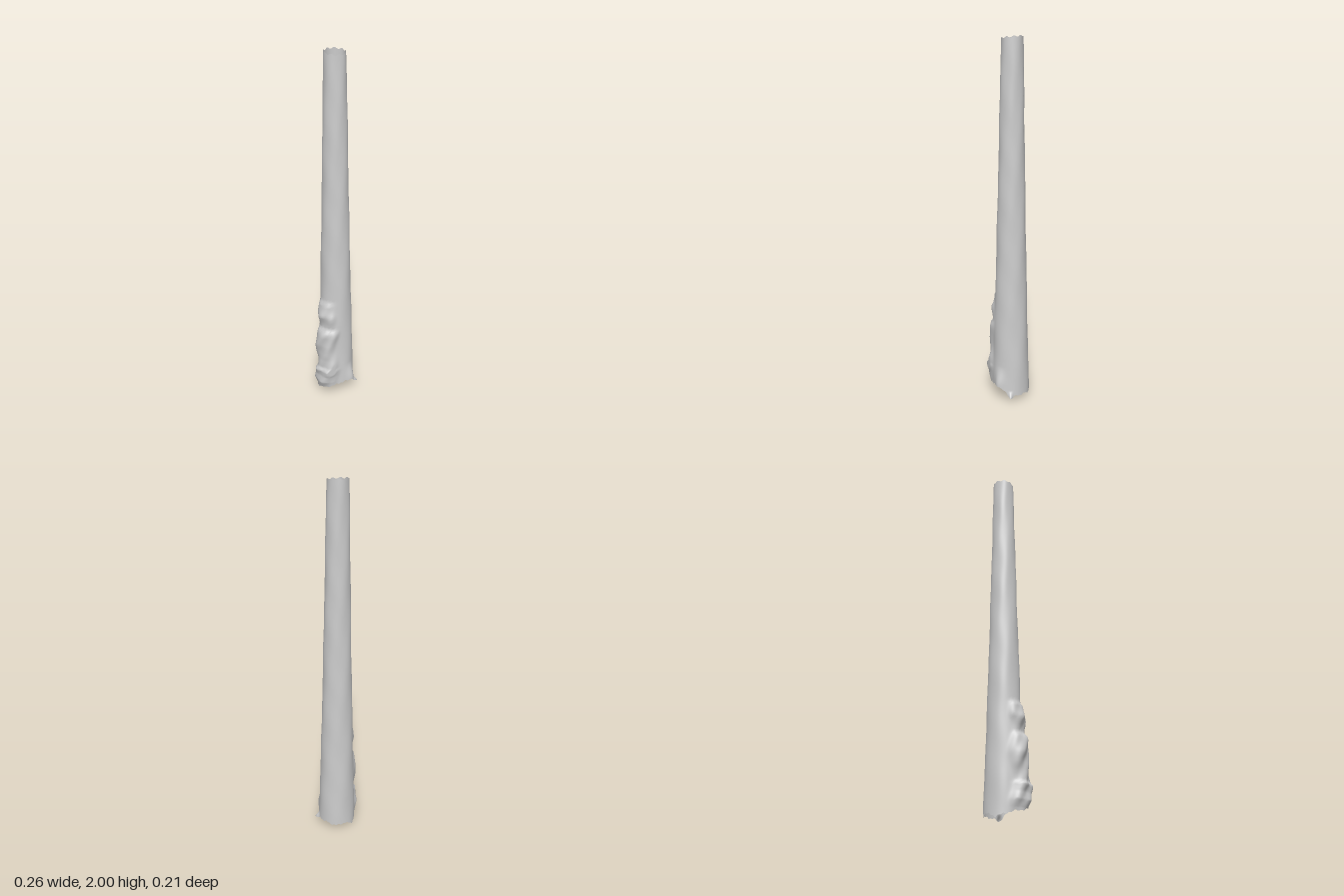
import * as THREE from 'three';

const { lerp, smoothstep } = THREE.MathUtils;
const DEG = Math.PI / 180;

// Linear interpolation through [position, value] pairs
function sample(table, t) {
  for (let i = 1; i < table.length; i++) {
    const [t0, v0] = table[i - 1], [t1, v1] = table[i];
    if (t <= t1) return lerp(v0, v1, Math.max(0, (t - t0) / (t1 - t0)));
  }
  return table[table.length - 1][1];
}

// Torn lower edge: height by angle (0 = +x, 90 = +z)
const lowerEdge = [[0, 0.03], [20, 0.02], [35, 0.05], [58, 0.09], [100, 0.075], [140, 0.055],
  [165, 0.04], [200, 0.025], [238, 0.006], [270, 0.03], [300, 0.02], [330, 0.03], [360, 0.03]];
// Trunk radius by height
const radius = [[0, 0.104], [0.2, 0.099], [0.6, 0.087], [1.2, 0.073], [2, 0.057]];
// How far the swollen burl sticks out, by height
const burl = [[0, 0.01], [0.05, 0.02], [0.09, 0.036], [0.13, 0.034], [0.17, 0.044], [0.185, 0.03],
  [0.24, 0.027], [0.29, 0.03], [0.33, 0.036], [0.4, 0.036], [0.42, 0.03], [0.44, 0.012],
  [0.47, 0.015], [0.52, 0.029], [0.56, 0.017], [0.59, 0.012], [0.605, 0]];

function trunkPoint(u, v) {
  const SEAM = 297; // the sheet starts and ends along a seam at the back
  const deg = (SEAM + u * 360) % 360, a = deg * DEG;
  const jag = 0.006 * Math.sin(a * 17) * Math.sin(a * 7 + 1);
  const bottom = Math.max(0, sample(lowerEdge, deg) + jag);
  const top = 1.99 - 0.006 * Math.sin(a) + 0.004 * Math.sin(a * 9);
  const y = lerp(bottom, top, Math.pow(v, 1.6));

  let r = sample(radius, y) + (u - 0.5) * 0.003;
  r += 0.0008 * Math.sin(a * 5 + y * 11) + 0.0006 * Math.sin(a * 3 - y * 23);

  // Burl on the front right, wavering with height
  const off = (deg - 150 - 6 * Math.sin(y * 25)) / 37;
  r += sample(burl, y) * Math.exp(-Math.pow(off, 4)) * (1 + 0.14 * Math.sin(a * 9 + y * 40));
  // Flared corner and splinter along the lower edge
  r += 0.02 * Math.exp(-Math.pow((deg - 57) / 16, 2)) * (1 - smoothstep(y, 0.09, 0.2));
  r += 0.022 * Math.exp(-Math.pow((deg - 20) / 5, 2)) * (1 - smoothstep(y, 0.02, 0.06));

  const cx = lerp(0.012, 0.008, y / 2), cz = lerp(-0.002, -0.012, y / 2);
  return [cx + r * Math.cos(a), y, Math.min(0.106, cz + r * Math.sin(a))];
}

export function createModel() {
  const around = 108, up = 150, positions = [], index = [];
  for (let j = 0; j <= up; j++) {
    for (let i = 0; i <= around; i++) positions.push(...trunkPoint(i / around, j / up));
  }
  for (let j = 0; j < up; j++) {
    for (let i = 0; i < around; i++) {
      const a = j * (around + 1) + i, b = a + 1, c = a + around + 1, d = c + 1;
      index.push(a, c, b, b, c, d);
    }
  }
  const geometry = new THREE.BufferGeometry();
  geometry.setAttribute('position', new THREE.Float32BufferAttribute(positions, 3));
  geometry.setIndex(index);
  geometry.computeVertexNormals();

  // Hollow trunk, open at both ends
  const trunk = new THREE.Mesh(geometry,
    new THREE.MeshStandardMaterial({ color: 0xcccccc, side: THREE.DoubleSide }));
  trunk.name = 'hollowTrunk';

  const group = new THREE.Group();
  group.name = 'treeTrunk';
  group.add(trunk);
  return group;
}
